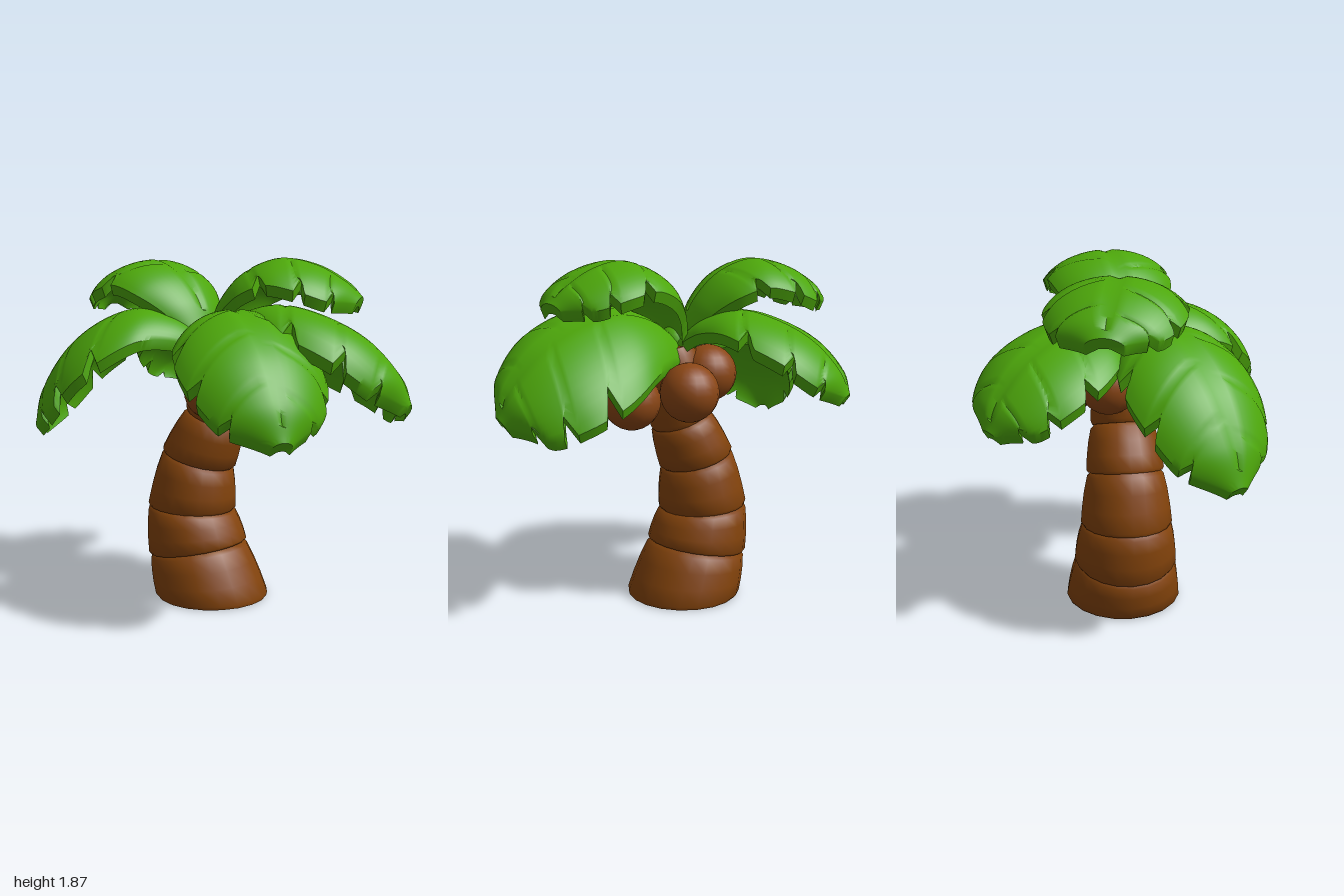
import * as THREE from 'three';
import { toCreasedNormals } from 'three/addons/utils/BufferGeometryUtils.js';

const V = (x, y, z) => new THREE.Vector3(x, y, z);

// Closed solid skinned over rings of equal length, capped at both ends
function loft(rings, crease) {
  const n = rings[0].length, pos = [], idx = [];
  rings.forEach(r => r.forEach(p => pos.push(p.x, p.y, p.z)));
  for (let i = 0; i < rings.length - 1; i++) {
    for (let j = 0; j < n; j++) {
      const a = i * n + j, b = i * n + (j + 1) % n;
      idx.push(a, b, a + n, b, b + n, a + n);
    }
  }
  [0, rings.length - 1].forEach((row, end) => {
    const c = rings[row].reduce((s, p) => s.add(p), V(0, 0, 0)).divideScalar(n);
    const ci = pos.length / 3;
    pos.push(c.x, c.y, c.z);
    for (let j = 0; j < n; j++) {
      const a = row * n + j, b = row * n + (j + 1) % n;
      if (end) idx.push(ci, a, b); else idx.push(ci, b, a);
    }
  });
  const g = new THREE.BufferGeometry();
  g.setAttribute('position', new THREE.Float32BufferAttribute(pos, 3));
  g.setIndex(idx);
  return toCreasedNormals(g, crease);
}

// Tilted circle of the trunk
function trunkRing(x, y, tilt, r) {
  const ring = [];
  for (let j = 0; j < 20; j++) {
    const a = j / 20 * Math.PI * 2, c = Math.cos(a) * r;
    ring.push(V(x + c * Math.cos(tilt), Math.max(0, y + c * Math.sin(tilt)), -Math.sin(a) * r - 0.01));
  }
  return ring;
}

// Midrib profiles: distance from crown, height, half width
const lowProfile = [
  [0, 1.43, 0.1], [0.17, 1.56, 0.22], [0.36, 1.61, 0.32], [0.56, 1.55, 0.37],
  [0.75, 1.41, 0.35], [0.89, 1.2, 0.25], [0.94, 1.02, 0.05]];
const highProfile = [
  [0, 1.48, 0.12], [0.08, 1.66, 0.22], [0.21, 1.8, 0.31], [0.39, 1.87, 0.34],
  [0.58, 1.835, 0.335], [0.73, 1.75, 0.26], [0.81, 1.67, 0.09]];

const ROWS = 60, COLS = 20, THICK = 0.055;
const notches = { '1': [20, 32, 44], '-1': [25, 37, 48] };

// Depth of the edge notch, a sawtooth around each notch row
function notchCut(row, side) {
  for (const n of notches[side]) {
    if (row === n) return 0.28;
    if (row === n + 1) return 0.18;
    if (row === n + 2) return 0.07;
  }
  return 0;
}

// Domed frond with midrib and side vein grooves and a notched edge
function frondGeometry(profile, { dir: [dx, dz], reach = 1, droop = 1, width = 1, dome = 0.56, roll = 0 }) {
  const curve = new THREE.CatmullRomCurve3(
    profile.map(([r, y, w]) => V(r * reach, 1.6 + (y - 1.6) * (y < 1.6 && r > 0.4 ? droop : 1), w * width)));
  const az = Math.atan2(dz, dx);
  const out = V(Math.cos(az), 0, Math.sin(az)), side = V(-Math.sin(az), 0, Math.cos(az));
  const rings = [];
  for (let i = 0; i <= ROWS; i++) {
    const u = i / ROWS;
    const point = (v, under) => {
      const av = Math.abs(v), s = v < 0 ? -1 : 1;
      const t = Math.min(1, u + 0.13 * av * Math.sin(Math.PI * u));
      const p = curve.getPoint(t), tan = curve.getTangent(t);
      const len = Math.hypot(tan.x, tan.y);
      // Sag direction lies between straight down and the midrib's underside
      const sag = V(tan.y / len, -tan.x / len - 1, 0).normalize();
      const vv = v * (1 - notchCut(i, s) * av ** 3);
      const a = vv * 1.15;
      const lateral = p.z * Math.sin(a) / Math.sin(1.15) * (under ? 0.95 : 1);
      let drop = dome * p.z * (1 - Math.cos(a)) / (1 - Math.cos(1.15));
      if (under) drop += THICK;
      else if (av < 0.01 && u > 0.1 && u < 0.93) drop += 0.014;
      else if (av > 0.15 && av < 0.95 && notches[s].includes(i)) drop += 0.008;
      return out.clone().multiplyScalar(p.x + sag.x * drop)
        .addScaledVector(side, lateral)
        .add(V(-0.09, p.y + sag.y * drop + roll * lateral, 0.03));
    };
    const ring = [];
    for (let j = 0; j <= COLS; j++) ring.push(point(j / COLS * 2 - 1, false));
    for (let j = COLS; j >= 0; j--) ring.push(point(j / COLS * 2 - 1, true));
    rings.push(ring);
  }
  return loft(rings, 0.7);
}

export function createModel() {
  const group = new THREE.Group();
  const mat = (name, color) => {
    const m = new THREE.MeshStandardMaterial({ color });
    m.name = name;
    return m;
  };
  const bark = mat('bark brown', 0x83430b);
  const shell = mat('coconut brown', 0x8a4615);
  const leaf = mat('leaf green', 0x4da70b);
  const add = (name, geometry, material) => {
    const mesh = new THREE.Mesh(geometry, material);
    mesh.name = name;
    group.add(mesh);
    return mesh;
  };

  // Trunk segments: each flares over the top of the one below
  const joints = [ // x, y, tilt, lower radius, upper radius
    [-0.1, 0, 0, 0.32, 0],
    [-0.19, 0.265, 0.17, 0.282, 0.268],
    [-0.23, 0.495, -0.06, 0.25, 0.24],
    [-0.185, 0.775, -0.28, 0.212, 0.2],
    [-0.08, 1.005, -0.36, 0.174, 0.165],
    [-0.02, 1.4, -0.2, 0.13, 0.13]];
  for (let i = 0; i < joints.length - 1; i++) {
    const [x0, y0, t0, r0] = joints[i], [x1, y1, t1, , r1] = joints[i + 1];
    const at = (k, bulge) => trunkRing(
      x0 + (x1 - x0) * k, y0 + (y1 - y0) * k, t0 + (t1 - t0) * k, r0 + (r1 - r0) * k + bulge);
    add('trunkSegment' + (i + 1), loft([
      at(0, -0.012), at(0.06, 0), at(0.35, 0.006), at(0.65, 0.008), at(0.92, 0.004), at(1.03, -0.02)], 0.9), bark);
  }

  // Coconuts around the top of the trunk
  [[-0.2, 1.26, -0.1], [0.04, 1.19, 0.25], [0.23, 1.13, -0.02], [0.04, 1.2, -0.29]].forEach((p, i) => {
    add('coconut' + (i + 1), new THREE.SphereGeometry(0.155, 20, 14), shell).position.set(...p);
  });

  // Crown hub where the fronds meet
  add('crownHub', new THREE.SphereGeometry(0.1, 16, 12), leaf).position.set(-0.08, 1.42, 0.03);

  // Fronds, upper pair first
  add('upperLeftFrond', frondGeometry(highProfile, { dir: [0.81, -0.11], reach: 1.02, dome: 0.42 }), leaf);
  add('upperRightFrond', frondGeometry(highProfile, { dir: [-0.79, -0.25], reach: 1.01, dome: 0.42 }), leaf);
  add('frontLeftFrond', frondGeometry(lowProfile, { dir: [0.71, 0.66], reach: 1.04, width: 1.03 }), leaf);
  add('frontRightFrond', frondGeometry(lowProfile, { dir: [-0.89, 0.37], reach: 1.03, droop: 1.08, width: 0.97 }), leaf);
  add('backRightFrond', frondGeometry(lowProfile, { dir: [-0.54, -0.74], reach: 1.01, droop: 0.7, width: 0.95, dome: 0.42, roll: 0.08 }), leaf);
  add('backLeftFrond', frondGeometry(lowProfile, { dir: [1.07, -0.1], reach: 1.17, droop: 0.82, width: 1.1, dome: 0.6, roll: 0.32 }), leaf);

  return group;
}
